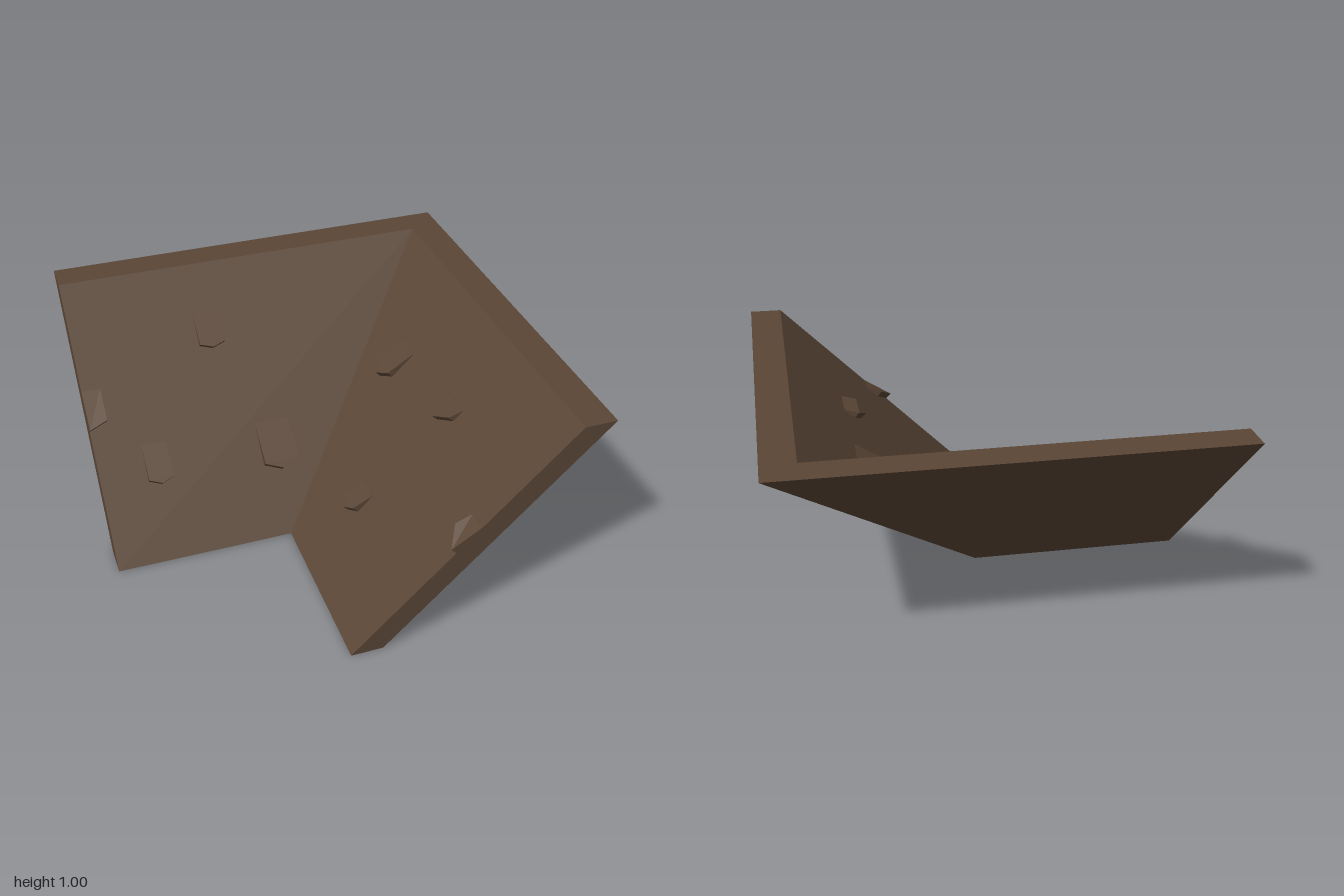
import * as THREE from 'three';

// Closed solid between two matching loops (top loop counter-clockwise from above).
// skip leaves out one hidden side; mirror swaps the solid across the valley line.
function loft(top, bottom, mirror, skip = -1) {
  const n = top.length, pos = [];
  const tri = (a, b, c) => {
    for (const [x, y, z] of mirror ? [a, c, b] : [a, b, c]) {
      pos.push(...(mirror ? [-z, y, -x] : [x, y, z]));
    }
  };
  for (let i = 1; i < n - 1; i++) {
    tri(top[0], top[i], top[i + 1]);
    tri(bottom[0], bottom[i + 1], bottom[i]);
  }
  for (let i = 0; i < n; i++) {
    if (i === skip) continue;
    const j = (i + 1) % n;
    tri(top[i], bottom[i], bottom[j]);
    tri(top[i], bottom[j], top[j]);
  }
  const geometry = new THREE.BufferGeometry();
  geometry.setAttribute('position', new THREE.Float32BufferAttribute(pos, 3));
  geometry.computeVertexNormals();
  return geometry;
}

const THICK = 0.15;
// Point on the 45 degree slope: across, height up the slope, lift off the surface
const onSlope = (x, y, lift = 0) => [x, y + lift, THICK - y + lift];

// Sloping slab with a mitred end at the valley
function slab(mirror) {
  const top = [onSlope(-1, 0), onSlope(-THICK, 0), onSlope(1 - THICK, 1), onSlope(-1, 1)];
  const bottom = [[-1, 0, 0], [0, 0, 0], [1, 1, -1], [-1, 1, -1]];
  return loft(top, bottom, mirror, 1);
}

// Pointed shingle: flush at its upper edge, raised at its lower tip
function shingle([x0, x1, yTop, ySide, yTip, lift, tipX = (x0 + x1) / 2], mirror) {
  const outline = [[x0, ySide], [tipX, yTip], [x1, ySide], [x1, yTop], [x0, yTop]];
  // a tip on the edge of the roof makes a half shingle
  if (tipX === x0) outline.shift(), outline.unshift([x0, yTip]), outline.splice(1, 1);
  const top = outline.map(([x, y]) => onSlope(x, y, y === yTop ? 0.001 : lift));
  const bottom = outline.map(([x, y]) => onSlope(x, y, y === yTop ? -0.002 : 0));
  return loft(top, bottom, mirror);
}

// across from, across to, top, side, tip heights, lift, tip position
const backShingles = [
  [-0.39, -0.265, 0.82, 0.705, 0.69, 0.02],
  [-0.775, -0.655, 0.4, 0.275, 0.258, 0.025],
  [-0.205, -0.035, 0.4, 0.25, 0.225, 0.03],
  [-1, -0.91, 0.62, 0.505, 0.48, 0.022, -1],
];
const sideShingles = [
  [0.125, 0.27, 0.725, 0.615, 0.58, 0.025],
  [-0.38, -0.265, 0.33, 0.255, 0.228, 0.025],
  [-0.41, -0.235, 0.74, 0.695, 0.655, 0.025],
  [-1, -0.905, 0.575, 0.52, 0.465, 0.025, -1],
];

export function createModel() {
  const model = new THREE.Group();
  model.name = 'roofValleyCorner';
  const material = new THREE.MeshStandardMaterial({ color: 0x5a4636, flatShading: true });

  [['back', backShingles, false], ['side', sideShingles, true]].forEach(([name, list, mirror]) => {
    const slope = new THREE.Group();
    slope.name = name + 'Slope';
    const add = (geometry, part) => {
      const mesh = new THREE.Mesh(geometry, material);
      mesh.name = part;
      slope.add(mesh);
    };
    add(slab(mirror), name + 'Slab');
    list.forEach((s, i) => add(shingle(s, mirror), name + 'Shingle' + (i + 1)));
    model.add(slope);
  });
  return model;
}
